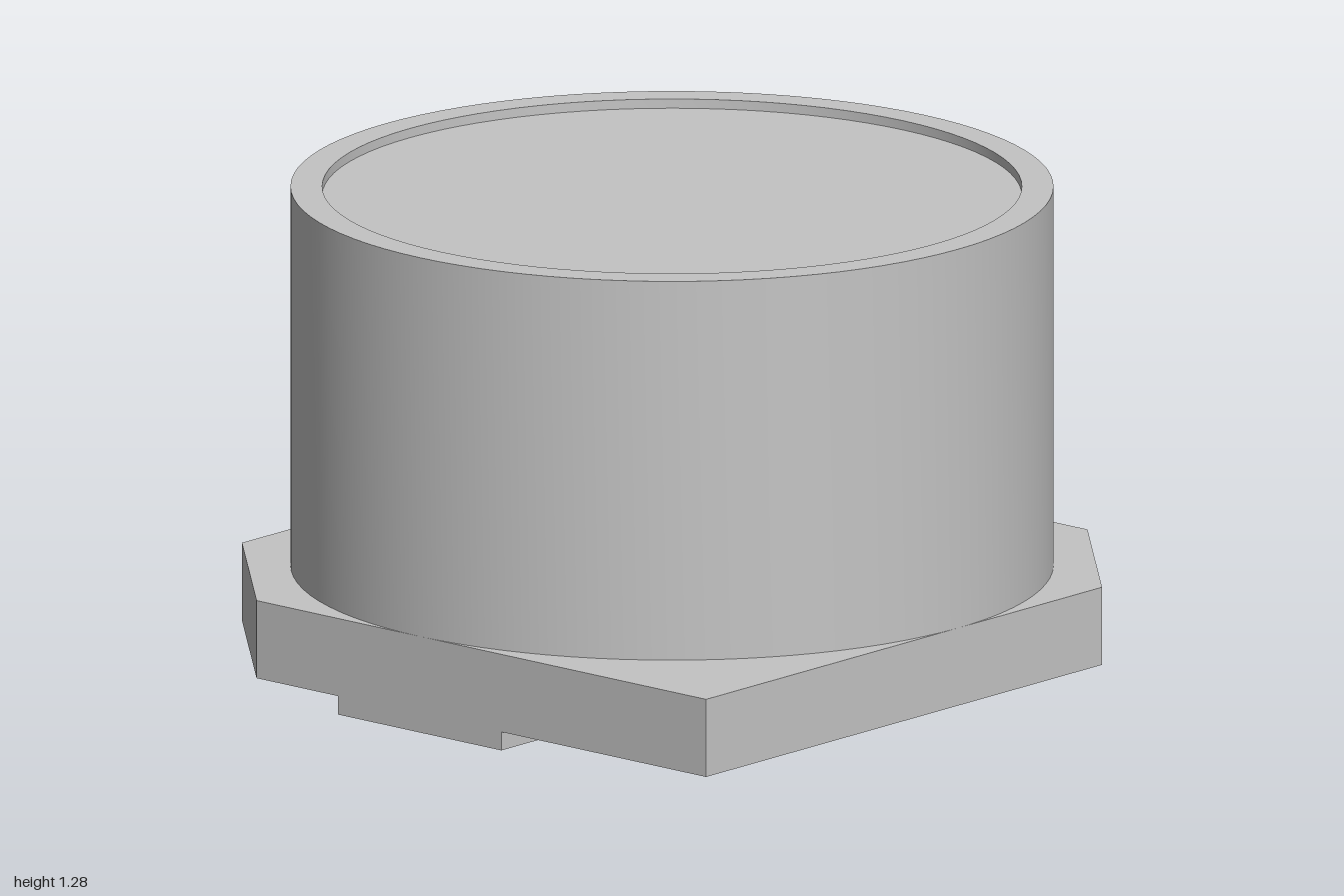
import * as THREE from 'three';
import { toCreasedNormals } from 'three/addons/utils/BufferGeometryUtils.js';

const BASE_BOTTOM = 0.05, BASE_TOP = 0.26, TOP = 1.285;
const CUT = 0.57; // where the corner chamfers begin

export function createModel() {
  const grey = new THREE.MeshStandardMaterial({ color: 0xc4c4c4 });
  grey.name = 'grey';
  const model = new THREE.Group();
  model.name = 'roundComponent';

  const add = (name, geometry, x = 0, y = 0, z = 0) => {
    const mesh = new THREE.Mesh(geometry, grey);
    mesh.name = name;
    mesh.position.set(x, y, z);
    model.add(mesh);
  };

  // Square base plate with two opposite corners cut off
  const outline = new THREE.Shape([
    [-CUT, -1], [1, -1], [1, CUT], [CUT, 1], [-1, 1], [-1, -CUT],
  ].map(([x, y]) => new THREE.Vector2(x, y)));
  const plate = new THREE.ExtrudeGeometry(outline, { depth: BASE_TOP - BASE_BOTTOM, bevelEnabled: false });
  plate.rotateX(-Math.PI / 2);
  add('basePlate', plate, 0, BASE_BOTTOM);

  // Round body with a shallow recess inside its rim
  const profile = [
    [1, BASE_TOP], [1, TOP], [0.917, TOP], [0.917, TOP - 0.025], [0, TOP - 0.025],
  ].map(([r, y]) => new THREE.Vector2(r, y));
  add('body', toCreasedNormals(new THREE.LatheGeometry(profile, 96), 0.6));

  // Contact pads under the front and back edges
  for (const [name, side] of [['frontPad', 1], ['backPad', -1]]) {
    add(name, new THREE.BoxGeometry(0.57, BASE_BOTTOM, 0.425), 0, BASE_BOTTOM / 2, side * 0.7875);
  }
  return model;
}
